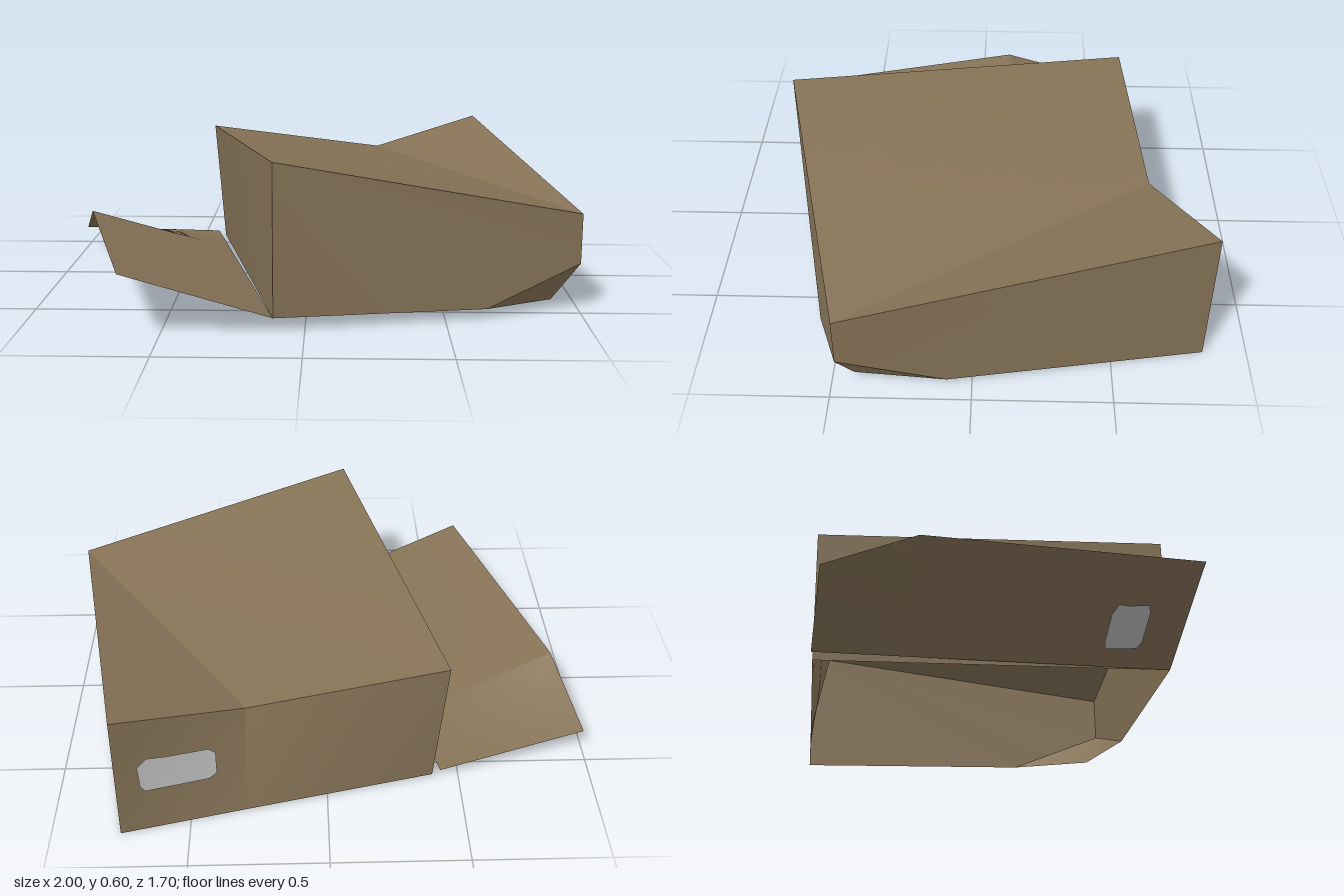
import * as THREE from 'three';

const cardboard = new THREE.MeshStandardMaterial({ color: 0x857256, side: THREE.DoubleSide });
cardboard.name = 'cardboard';
const tape = new THREE.MeshStandardMaterial({ color: 0xbebebe, side: THREE.DoubleSide });
tape.name = 'greyTape';

const V = (x, y, z) => new THREE.Vector3(x, y, z);

// Point at (u, v) on the sheet a-b (v = 0) to d-c (v = 1)
const onQuad = ([a, b, c, d], u, v) => a.clone().lerp(b, u).lerp(d.clone().lerp(c, u), v);

function sheet(points, index) {
  const g = new THREE.BufferGeometry().setFromPoints(points);
  g.setIndex(index);
  g.computeVertexNormals();
  return g;
}

// Gently warped four-cornered panel
function warped(q, n = 8) {
  const points = [], index = [];
  for (let j = 0; j <= n; j++)
    for (let i = 0; i <= n; i++) {
      points.push(onQuad(q, i / n, j / n));
      if (i < n && j < n) {
        const k = j * (n + 1) + i;
        index.push(k, k + 1, k + n + 2, k, k + n + 2, k + n + 1);
      }
    }
  return sheet(points, index);
}

// Panel with any number of corners, as a fan
function fan(points) {
  const index = [];
  for (let i = 1; i < points.length - 1; i++) index.push(0, i, i + 1);
  return sheet(points, index);
}

// Torn tape outline laid just off a warped panel
function patch(q, u0, u1, v0, v1, offset) {
  const outline = [[0.5, 0.5], [0.08, 0], [0.6, 0.03], [0.9, 0.05], [1, 0.2], [0.99, 0.85],
    [0.9, 1], [0.35, 0.96], [0.12, 0.98], [0, 0.75], [0.02, 0.15]];
  const points = outline.map(([s, t]) =>
    onQuad(q, u0 + s * (u1 - u0), v0 + t * (v1 - v0)).add(offset));
  const index = [];
  for (let i = 1; i < points.length; i++) index.push(0, i, (i % (points.length - 1)) + 1);
  return sheet(points, index);
}

export function createModel() {
  const model = new THREE.Group();
  model.name = 'crushedBox';
  const add = (name, geometry, material = cardboard) => {
    const mesh = new THREE.Mesh(geometry, material);
    mesh.name = name;
    model.add(mesh);
  };

  // Upper corners, with the dent in the back edge
  const backRightTop = V(-0.44, 0.52, -0.58), frontRightTop = V(-0.11, 0.6, 0.74);
  const frontLeftTop = V(1, 0.365, 0.47), backLeftTop = V(0.74, 0.53, -0.85);
  const dent = V(0.29, 0.42, -0.65);

  // Lower rim
  const backRightLow = V(-0.4, 0.015, -0.58), frontRightLow = V(-0.11, 0.05, 0.74);
  const backLeftLow = V(0.75, 0, -0.84), backMidLow = V(0.3, 0.006, -0.737);

  // Crushed front left corner
  const crushTop = V(1, 0.18, 0.47), crushLow = V(0.905, 0.028, 0.42);
  const crushFront = V(0.65, 0.037, 0.575), crushSide = V(0.925, 0.02, 0.09);

  // Top panel, creased from the dent to the front left corner
  add('topPanel', warped([backRightTop, frontRightTop, frontLeftTop, dent]));
  add('topFold', fan([dent, frontLeftTop, backLeftTop]));

  // Side walls
  add('frontWall', fan([frontRightTop, frontRightLow, crushFront, crushTop, frontLeftTop]));
  add('leftWall', fan([backLeftTop, frontLeftTop, crushTop, crushSide, backLeftLow]));
  add('rightWall', warped([backRightTop, backRightLow, frontRightLow, frontRightTop]));
  add('crushedCorner', sheet([crushTop, crushFront, crushLow, crushSide], [0, 1, 2, 0, 2, 3]));

  // Back wall, bent inwards at the dent
  const backLeftQuad = [backLeftLow, backMidLow, dent, backLeftTop];
  add('backWallRight', warped([backMidLow, backRightLow, backRightTop, dent]));
  add('backWallLeft', warped(backLeftQuad));
  add('backTape', patch(backLeftQuad, 0.17, 0.77, 0.37, 0.67, V(-0.001, 0, -0.005)), tape);

  // Open flap, creased near its back end
  const hinge = V(-0.43, 0.035, -0.58);
  const hingeMid = hinge.clone().lerp(frontRightLow, 0.245);
  const flapBack = V(-1, 0.085, -0.43), flapMid = V(-0.91, 0.23, -0.12);
  const flapFront = V(-0.63, 0.235, 0.845);
  const flapQuad = [hingeMid, frontRightLow, flapFront, flapMid];
  add('flapBack', warped([hinge, hingeMid, flapMid, flapBack]));
  add('flapFront', warped(flapQuad));
  add('flapTape', patch(flapQuad, 0.72, 0.86, 0.18, 0.6, V(-0.001, -0.005, 0)), tape);

  return model;
}
